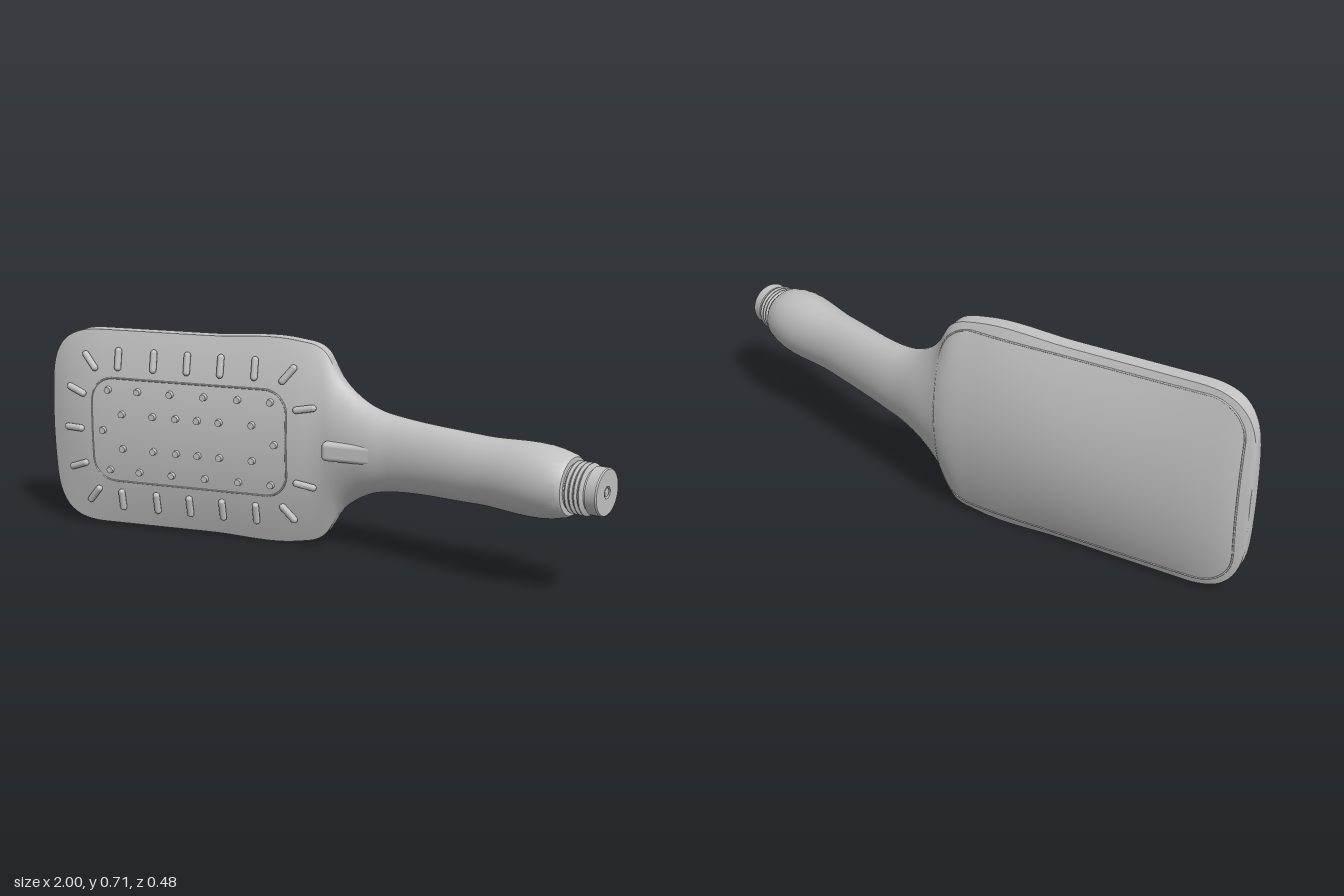
import * as THREE from 'three';
import { toCreasedNormals } from 'three/addons/utils/BufferGeometryUtils.js';
import { RoundedBoxGeometry } from 'three/addons/geometries/RoundedBoxGeometry.js';

const MID = 0.345; // height of the long axis

// Body stations: x, axis z, tilt, half height, rim, front crown, back crown
const STATIONS = [
  [-1.0, -0.135, 0, 0.345, 0.02, 0.025, 0.03],
  [-0.94, -0.135, 0, 0.345, 0.025, 0.045, 0.055],
  [-0.86, -0.135, 0, 0.345, 0.025, 0.062, 0.072],
  [-0.78, -0.135, 0, 0.345, 0.025, 0.069, 0.083],
  [-0.4, -0.135, 0, 0.345, 0.025, 0.081, 0.109],
  [-0.08, -0.135, 0, 0.345, 0.025, 0.085, 0.1],
  [0.01, -0.135, 0.03, 0.312, 0.023, 0.087, 0.093],
  [0.064, -0.122, 0.1, 0.23, 0.017, 0.086, 0.09],
  [0.13, -0.103, 0.2, 0.173, 0.008, 0.083, 0.088],
  [0.2, -0.083, 0.28, 0.14, 0, 0.08, 0.083],
  [0.28, -0.063, 0.32, 0.125, 0, 0.078, 0.08],
  [0.57, 0.036, 0.328, 0.11, 0, 0.088, 0.088],
  [0.86, 0.131, 0.328, 0.098, 0, 0.097, 0.097],
  [0.872, 0.135, 0.328, 0.09, 0, 0.09, 0.09],
];
const spline = new THREE.CubicInterpolant(
  STATIONS.map((s) => s[0]), STATIONS.flatMap((s) => s.slice(1)), 6, new Float32Array(6));

function station(x) {
  const [cz, tilt, half, rim, front, back] = spline.evaluate(x);
  // rounded corners at the far end of the head
  const inset = Math.max(0, 1 - (x + 1) / 0.2);
  const h = half * Math.pow(1 - Math.pow(inset, 2.6), 0.228);
  const edge = Math.max(0, rim);
  // offset of the front (side 1) or back (side -1) skin; c is 0 at the rim and 1 at the crown
  const offset = (c, side) =>
    side * (edge + ((side > 0 ? front : back) - edge) * Math.pow(Math.max(0, c), 1 + edge / 0.025));
  return { cz, tilt, h, offset };
}

// Depth of the skin at a point of the head
function skinZ(x, y, side) {
  const { cz, h, offset } = station(x);
  const s = Math.min(1, Math.abs(y - MID) / h);
  return cz + offset(Math.sqrt(1 - s * s), side);
}

// One closed cross-section: front arc upwards, back arc downwards
function ring(x, n) {
  const { cz, tilt, h, offset } = station(x);
  const pts = [];
  for (const side of [1, -1]) {
    for (let i = 0; i <= n; i++) {
      const u = (i / n - 0.5) * Math.PI * side;
      const off = offset(Math.cos(u), side);
      pts.push([x - off * Math.sin(tilt), MID + h * Math.sin(u), cz + off * Math.cos(tilt)]);
    }
  }
  return pts;
}

function bodyGeometry() {
  const n = 28, m = 2 * (n + 1), steps = 8, xs = [], pos = [], idx = [];
  for (let i = 0; i < STATIONS.length - 1; i++) {
    const x0 = STATIONS[i][0], x1 = STATIONS[i + 1][0];
    for (let k = 0; k < steps; k++) {
      const f = i === 0 ? (k / steps) ** 2 : k / steps;
      xs.push(Math.max(-0.9995, x0 + (x1 - x0) * f));
    }
  }
  xs.push(STATIONS[STATIONS.length - 1][0]);
  xs.forEach((x) => ring(x, n).forEach((p) => pos.push(...p)));
  for (let i = 0; i < xs.length - 1; i++) {
    for (let j = 0; j < m; j++) {
      const a = i * m + j, b = i * m + (j + 1) % m;
      idx.push(a, a + m, b + m, a, b + m, b);
    }
  }
  // end caps
  for (const i of [0, xs.length - 1]) {
    const c = pos.length / 3;
    pos.push(xs[i], MID, station(xs[i]).cz);
    for (let j = 0; j < m; j++) {
      const a = i * m + j, b = i * m + (j + 1) % m;
      if (i === 0) idx.push(c, a, b); else idx.push(c, b, a);
    }
  }
  const g = new THREE.BufferGeometry();
  g.setAttribute('position', new THREE.Float32BufferAttribute(pos, 3));
  g.setIndex(idx);
  return toCreasedNormals(g, 0.6);
}

// Rounded-rectangle bead lying on the skin
function seamGeometry(x0, x1, half, r, side) {
  const s = new THREE.Shape();
  s.absarc(x1 - r, half - r, r, 0, Math.PI / 2);
  s.absarc(x0 + r, half - r, r, Math.PI / 2, Math.PI);
  s.absarc(x0 + r, r - half, r, Math.PI, Math.PI * 1.5);
  s.absarc(x1 - r, r - half, r, Math.PI * 1.5, Math.PI * 2);
  s.closePath();
  const pts = s.getSpacedPoints(90).slice(0, -1)
    .map((p) => new THREE.Vector3(p.x, MID + p.y, skinZ(p.x, MID + p.y, side)));
  return new THREE.TubeGeometry(new THREE.CatmullRomCurve3(pts, true), 180, 0.003, 6, true);
}

export function createModel() {
  const model = new THREE.Group();
  model.name = 'handShower';
  const grey = new THREE.MeshStandardMaterial({ color: 0xc2c2c2 });
  grey.name = 'satin grey';
  const add = (name, geometry, parent = model) => {
    const mesh = new THREE.Mesh(geometry, grey);
    mesh.name = name;
    parent.add(mesh);
    return mesh;
  };

  add('headAndHandle', bodyGeometry());
  add('sprayPlateSeam', seamGeometry(-0.83, -0.11, 0.183, 0.08, 1));
  add('backPanelSeam', seamGeometry(-0.965, 0.04, 0.32, 0.12, -1));

  // Mode button at the neck
  const button = add('button', new RoundedBoxGeometry(0.208, 0.064, 0.07, 4, 0.015));
  button.position.set(0.13, MID, -0.042);
  button.rotation.y = -0.05;

  // Slot nozzles: x, height above axis, angle, mirrored below
  const slots = new THREE.Group();
  slots.name = 'slotNozzles';
  model.add(slots);
  const slotList = [
    ...[-0.727, -0.594, -0.47, -0.348, -0.225].map((x) => [x, 0.25, Math.PI / 2]),
    [-0.834, 0.238, -0.87], [-0.107, 0.238, 0.87],
    [-0.888, 0.134, -0.35], [-0.043, 0.13, 0.18], [-0.9, 0, 0],
  ];
  const capsule = new THREE.CapsuleGeometry(0.012, 0.058, 5, 10);
  for (const [x, dy, angle] of slotList) {
    for (const s of dy ? [1, -1] : [1]) {
      const end = (k) => {
        const px = x + k * Math.cos(angle) * 0.03, py = MID + s * (dy + k * Math.sin(angle) * 0.03);
        return new THREE.Vector3(px, py, skinZ(px, py, 1) + 0.009);
      };
      const a = end(-1), b = end(1);
      const slot = add('slotNozzle', capsule, slots);
      slot.position.copy(a).lerp(b, 0.5);
      slot.quaternion.setFromUnitVectors(new THREE.Vector3(0, 1, 0), b.sub(a).normalize());
    }
  }

  // Round nozzles in mirrored rows
  const dots = new THREE.Group();
  dots.name = 'roundNozzles';
  model.add(dots);
  const rows = [
    [0.142, [-0.765, -0.652, -0.53, -0.406, -0.283, -0.166]],
    [0.061, [-0.711, -0.594, -0.508, -0.428, -0.348, -0.23]],
    [0, [-0.786, -0.15]],
  ];
  const dot = new THREE.CylinderGeometry(0.011, 0.014, 0.026, 16).rotateX(Math.PI / 2);
  for (const [dy, xs] of rows) {
    for (const s of dy ? [1, -1] : [1]) {
      for (const x of xs) {
        const y = MID + s * dy;
        add('roundNozzle', dot, dots).position.set(x, y, skinZ(x, y, 1));
      }
    }
  }

  // Threaded hose connector, turned about the handle axis
  const profile = [[0, -0.01], [0.074, -0.01]];
  for (let i = 0; i < 4; i++) {
    const t = 0.004 + i * 0.015;
    profile.push([0.072, t], [0.081, t + 0.005], [0.081, t + 0.008], [0.072, t + 0.013]);
  }
  profile.push([0.066, 0.064], [0.066, 0.07], [0.074, 0.072], [0.074, 0.106], [0.071, 0.11],
    [0.019, 0.11], [0.019, 0.1], [0.013, 0.1], [0.013, 0.108], [0, 0.108]);
  const lathe = new THREE.LatheGeometry(profile.map((p) => new THREE.Vector2(...p)), 40);
  const connector = add('threadedConnector', toCreasedNormals(lathe, 0.5));
  connector.position.set(0.872, MID, 0.135);
  connector.quaternion.setFromUnitVectors(
    new THREE.Vector3(0, 1, 0), new THREE.Vector3(Math.cos(0.328), 0, Math.sin(0.328)));

  return model;
}
